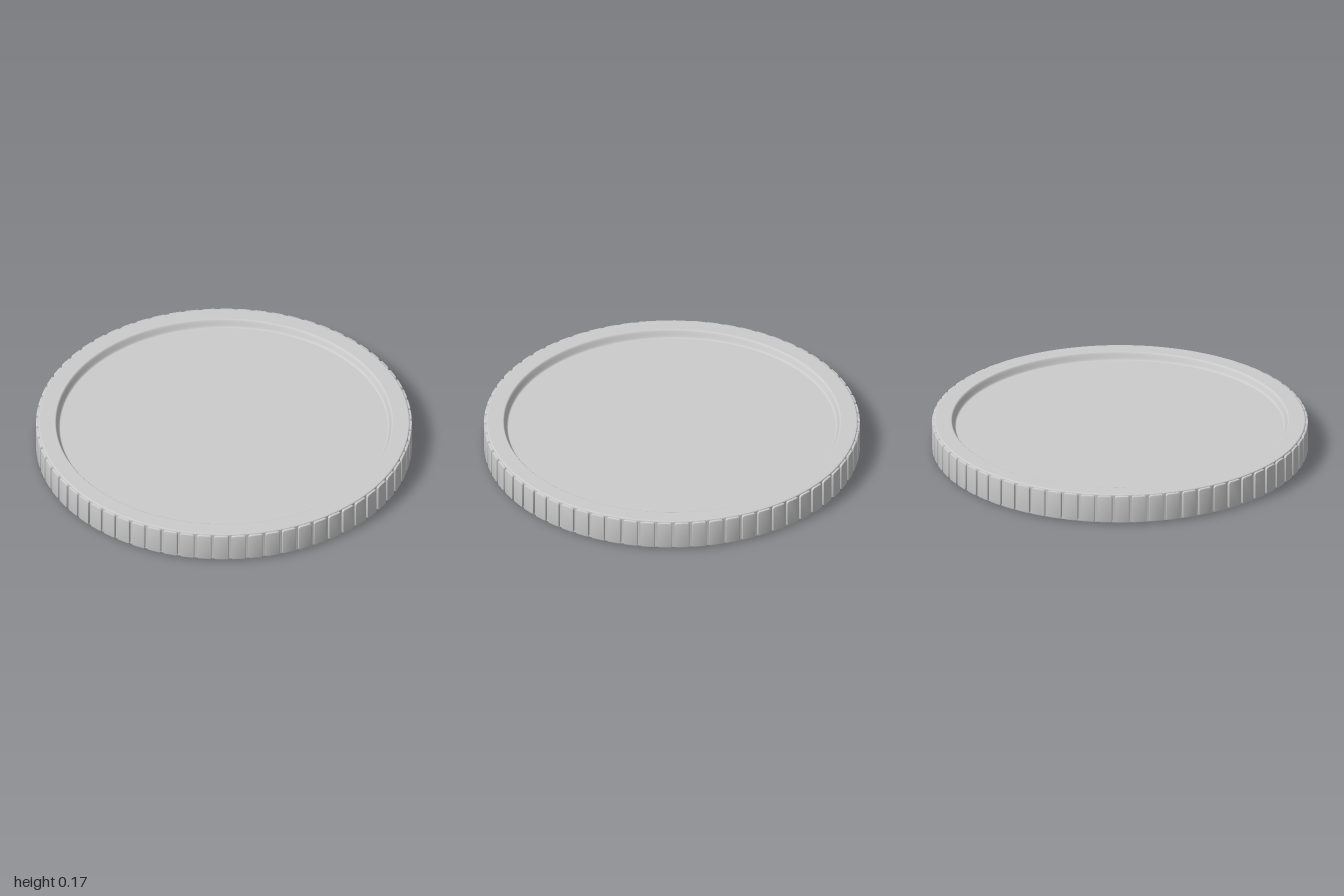
import * as THREE from 'three';
import { toCreasedNormals } from 'three/addons/utils/BufferGeometryUtils.js';

const HEIGHT = 0.167;
const RIDGES = 68;

// Lower half of the disc profile, from the centre out to the edge
function lowerProfile() {
  const depth = 0.04, inner = 0.872, outer = 0.898, edge = 0.988, round = 0.007;
  const points = [[0, depth], [inner - 0.003, depth]];
  // Smooth step from the sunken face to the raised rim
  for (let i = 0; i <= 10; i++) {
    const t = i / 10;
    points.push([inner + (outer - inner) * t, depth * (0.5 + 0.5 * Math.cos(Math.PI * t))]);
  }
  points.push([outer + 0.003, 0], [edge - round - 0.002, 0]);
  // Rounded outer corner
  for (let i = 0; i <= 4; i++) {
    const a = (i / 4) * Math.PI / 2;
    points.push([edge - round + round * Math.sin(a), round - round * Math.cos(a)]);
  }
  points.push([edge, round + 0.002]);
  return points;
}

// One raised edge plate: a rounded rectangle with a small bevel
function ridgeGeometry() {
  const w = 0.039, h = 0.077, r = 0.012, bevel = 0.005;
  const shape = new THREE.Shape();
  shape.moveTo(-w + r, -h);
  shape.lineTo(w - r, -h);
  shape.absarc(w - r, -h + r, r, -Math.PI / 2, 0);
  shape.absarc(w - r, h - r, r, 0, Math.PI / 2);
  shape.absarc(-w + r, h - r, r, Math.PI / 2, Math.PI);
  shape.absarc(-w + r, -h + r, r, Math.PI, Math.PI * 1.5);
  const geometry = new THREE.ExtrudeGeometry(shape, {
    depth: 0.012, curveSegments: 4,
    bevelEnabled: true, bevelSize: bevel, bevelOffset: -bevel, bevelThickness: bevel, bevelSegments: 2,
  });
  geometry.translate(0, HEIGHT / 2, 0.983);
  return toCreasedNormals(geometry, 0.5);
}

export function createModel() {
  const model = new THREE.Group();
  model.name = 'coin';
  const material = new THREE.MeshStandardMaterial({ color: 0xcccccc });

  // Disc with a raised rim and a sunken face on both sides
  const lower = lowerProfile();
  const upper = lower.map(([r, y]) => [r, HEIGHT - y]).reverse();
  const profile = [...lower, ...upper].map(([r, y]) => new THREE.Vector2(r, y));
  const disc = new THREE.Mesh(new THREE.LatheGeometry(profile, 136), material);
  disc.name = 'disc';
  model.add(disc);

  // Ring of plates around the edge, with gaps facing the four sides
  const ridges = new THREE.Group();
  ridges.name = 'edgeRidges';
  const geometry = ridgeGeometry();
  for (let i = 0; i < RIDGES; i++) {
    const ridge = new THREE.Mesh(geometry, material);
    ridge.name = 'edgeRidge';
    ridge.rotation.y = ((i + 0.5) / RIDGES) * Math.PI * 2;
    ridges.add(ridge);
  }
  model.add(ridges);
  return model;
}
